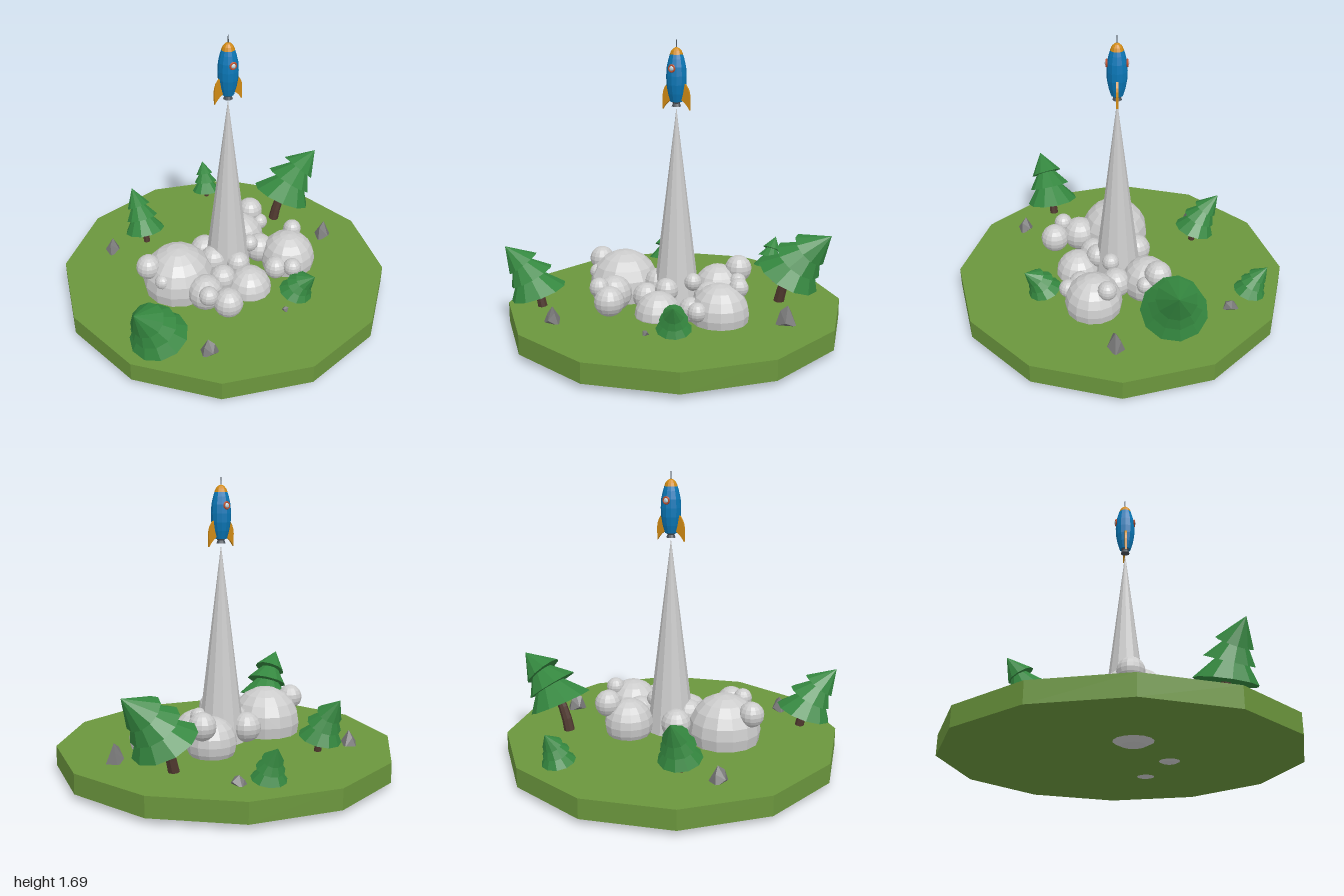
import * as THREE from 'three';
import { ConvexGeometry } from 'three/addons/geometries/ConvexGeometry.js';

const GROUND = 0.155;
const mat = (color, flatShading = true) => new THREE.MeshStandardMaterial({ color, flatShading });
const grass = mat(0x6b963d), leaf = mat(0x34873f), bark = mat(0x4f382e), smoke = mat(0xcccccc);
const stone = mat(0x777777), blue = mat(0x0a78b8), orange = mat(0xd08a14);
const metal = mat(0x4a525a), red = mat(0xc0502e), glass = mat(0xbfd6e0);

function add(parent, name, geometry, material, x = 0, y = 0, z = 0) {
  const mesh = new THREE.Mesh(geometry, material);
  mesh.name = name;
  mesh.position.set(x, y, z);
  parent.add(mesh);
  return mesh;
}

// Bends an upright geometry towards +x: the lean grows steadily with height
function bend(geometry, lean, rate) {
  const p = geometry.attributes.position;
  for (let i = 0; i < p.count; i++) {
    const s = p.getY(i), r = p.getX(i), t = lean + rate * s;
    const ax = (Math.cos(lean) - Math.cos(t)) / rate;
    const ay = (Math.sin(t) - Math.sin(lean)) / rate;
    p.setXY(i, ax + r * Math.cos(t), ay - r * Math.sin(t));
  }
  geometry.computeVertexNormals();
  return geometry;
}

// Bent three-tier conifer; skirt is the height of the lowest foliage edge
function makeTree({ x, z, dir, height, radius, skirt, lean, total }) {
  const tree = new THREE.Group();
  tree.name = 'tree';
  const l = THREE.MathUtils.degToRad(lean);
  const rate = THREE.MathUtils.degToRad(total - lean) / height;
  const crown = height - skirt;
  const trunk = new THREE.CylinderGeometry(radius * 0.12, radius * 0.17, skirt + crown * 0.3, 8, 4);
  trunk.translate(0, (skirt + crown * 0.3) / 2, 0);
  add(tree, 'trunk', bend(trunk, l, rate), bark);
  [[0, 0.62, 1], [0.3, 0.82, 0.8], [0.57, 1, 0.6]].forEach(([a, b, r]) => {
    const cone = new THREE.ConeGeometry(radius * r, crown * (b - a), 11, 1);
    cone.translate(0, skirt + crown * (a + b) / 2, 0);
    add(tree, 'foliage', bend(cone, l, rate), leaf);
  });
  tree.position.set(x, GROUND, z);
  tree.rotation.y = dir;
  return tree;
}

// Angular boulder: an irregular base ring under a small off-centre peak
function makeRock(parent, x, z, size, height, turn) {
  const pts = [];
  [1, 0.75, 0.95, 0.7, 0.9].forEach((k, i) => {
    const a = i * Math.PI * 0.4;
    pts.push(new THREE.Vector3(Math.cos(a) * k * size, i % 2 ? 0.02 : -0.01, Math.sin(a) * k * size));
  });
  pts.push(new THREE.Vector3(size * 0.15, height, 0), new THREE.Vector3(-size * 0.45, height * 0.7, size * 0.2));
  pts.push(new THREE.Vector3(size * 0.3, height * 0.55, -size * 0.45));
  add(parent, 'rock', new ConvexGeometry(pts), stone, x, GROUND, z).rotation.y = turn;
}

function makeRocket() {
  const rocket = new THREE.Group();
  rocket.name = 'rocket';
  const lathe = pts => new THREE.LatheGeometry(pts.map(p => new THREE.Vector2(...p)), 12);
  add(rocket, 'hull', lathe([[0, 1.355], [0.034, 1.355], [0.047, 1.4], [0.056, 1.45], [0.058, 1.5],
    [0.055, 1.55], [0.045, 1.595], [0.036, 1.624]]), blue);
  add(rocket, 'nose', lathe([[0.038, 1.62], [0.03, 1.64], [0.017, 1.654], [0.006, 1.66], [0, 1.66]]), orange);
  add(rocket, 'antenna', new THREE.CylinderGeometry(0.002, 0.004, 0.045, 6), metal, 0, 1.68, 0);
  add(rocket, 'nozzle', lathe([[0, 1.328], [0.027, 1.328], [0.02, 1.345], [0.026, 1.358], [0, 1.358]]), metal);

  // Swept side fins
  const outline = new THREE.Shape();
  outline.moveTo(0.048, 1.465);
  outline.quadraticCurveTo(0.085, 1.435, 0.087, 1.385);
  outline.lineTo(0.086, 1.31);
  outline.quadraticCurveTo(0.066, 1.345, 0.034, 1.365);
  const finGeometry = new THREE.ExtrudeGeometry(outline, { depth: 0.012, bevelEnabled: false, curveSegments: 4 });
  finGeometry.translate(0, 0, -0.006);
  for (const turn of [0, Math.PI]) add(rocket, 'fin', finGeometry, orange).rotation.y = turn;

  // Portholes, front and back
  for (const turn of [0, Math.PI]) {
    const porthole = new THREE.Group();
    porthole.name = 'porthole';
    add(porthole, 'rim', new THREE.TorusGeometry(0.018, 0.006, 6, 12), red, 0, 1.545, 0.056);
    add(porthole, 'pane', new THREE.SphereGeometry(0.016, 10, 6), glass, 0, 1.545, 0.052);
    porthole.rotation.y = turn;
    rocket.add(porthole);
  }
  rocket.position.set(0.018, 0, 0.018);
  return rocket;
}

export function createModel() {
  const model = new THREE.Group();
  model.name = 'rocketLaunch';

  // Twelve-sided ground slab
  add(model, 'ground', new THREE.CylinderGeometry(1, 1, 0.115, 12), grass, 0, GROUND - 0.0575, 0).scale.x = 0.99;

  // Exhaust plume
  add(model, 'plume', new THREE.ConeGeometry(0.142, 1.16, 12), smoke, 0.018, 0.74, 0.018);

  // Smoke puffs: x, y, z, radius
  const puffs = new THREE.Group();
  puffs.name = 'smoke';
  [
    [-0.33, 0.22, 0.035, 0.212], [-0.51, 0.35, 0.01, 0.074], [-0.475, 0.3, 0.12, 0.045],
    [-0.08, 0.25, -0.1, 0.088], [0.21, 0.225, -0.155, 0.145], [0.315, 0.345, -0.215, 0.08],
    [0.345, 0.29, -0.14, 0.05], [0.37, 0.2, 0.16, 0.168], [0.45, 0.335, 0.08, 0.056],
    [0.03, 0.16, 0.26, 0.135], [-0.265, 0.24, 0.26, 0.105], [-0.2, 0.25, 0.415, 0.087],
    [-0.3, 0.3, 0.365, 0.057], [0.24, 0.23, 0.03, 0.09], [0.15, 0.315, 0.06, 0.052],
    [0.02, 0.27, 0.14, 0.07], [-0.1, 0.22, 0.17, 0.08], [-0.09, 0.27, 0.04, 0.085],
    [0.23, 0.22, 0.24, 0.07], [0.305, 0.24, 0.31, 0.055],
  ].forEach(([x, y, z, r], i) => {
    add(puffs, 'puff', new THREE.SphereGeometry(r, 14, 10), smoke, x, y, z).rotation.y = i;
  });
  model.add(puffs);

  // Trees; dir turns the lean away from +x
  [
    { x: 0.55, z: -0.29, dir: 0, height: 0.56, radius: 0.19, skirt: 0.18, lean: 10, total: 60 },
    { x: -0.645, z: 0.45, dir: -Math.PI + 0.45, height: 0.43, radius: 0.165, skirt: 0.09, lean: 8, total: 52 },
    { x: -0.31, z: -0.47, dir: Math.PI / 2 + 0.12, height: 0.37, radius: 0.125, skirt: 0.085, lean: 6, total: 46 },
    { x: 0.285, z: -0.755, dir: Math.PI / 2 - 0.2, height: 0.25, radius: 0.095, skirt: 0.045, lean: 5, total: 42 },
    { x: 0.235, z: 0.45, dir: -1.1, height: 0.235, radius: 0.1, skirt: 0.03, lean: 8, total: 60 },
  ].forEach(t => model.add(makeTree(t)));

  // Rocks: x, z, size, height, turn
  [
    [-0.545, -0.485, 0.062, 0.09, 0.4], [0.385, -0.64, 0.055, 0.05, 1.3], [0.72, 0.035, 0.066, 0.11, 0],
    [-0.44, 0.63, 0.06, 0.09, 2.2], [0.11, 0.54, 0.025, 0.025, 0.8],
  ].forEach(r => makeRock(model, ...r));

  model.add(makeRocket());
  return model;
}
